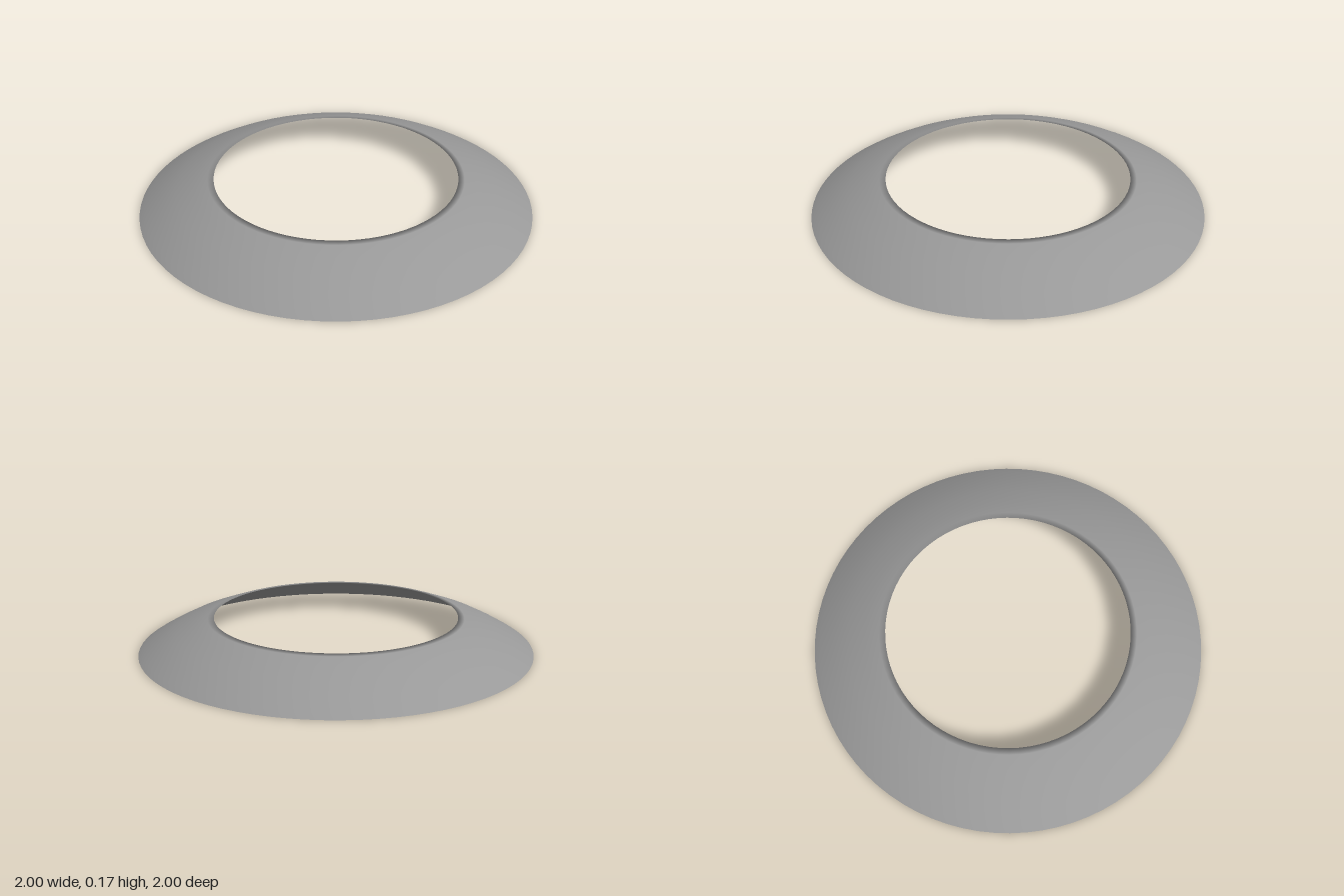
import * as THREE from 'three';

export function createModel() {
  const group = new THREE.Group();
  group.name = 'ringCover';

  // Thin closed shell: up the outside to the hole rim, then back down the underside
  const profile = [
    [1, 0], [0.97, 0.02], [0.9, 0.061], [0.81, 0.107], [0.72, 0.141], [0.65, 0.166], [0.618, 0.17],
    [0.65, 0.158], [0.72, 0.132], [0.81, 0.094], [0.9, 0.046], [0.97, 0.006], [1, 0],
  ].map(([r, y]) => new THREE.Vector2(r, y));

  const shell = new THREE.Mesh(
    new THREE.LatheGeometry(profile, 80),
    new THREE.MeshStandardMaterial({ color: 0x999999 })
  );
  shell.name = 'domedRing';
  group.add(shell);
  return group;
}
